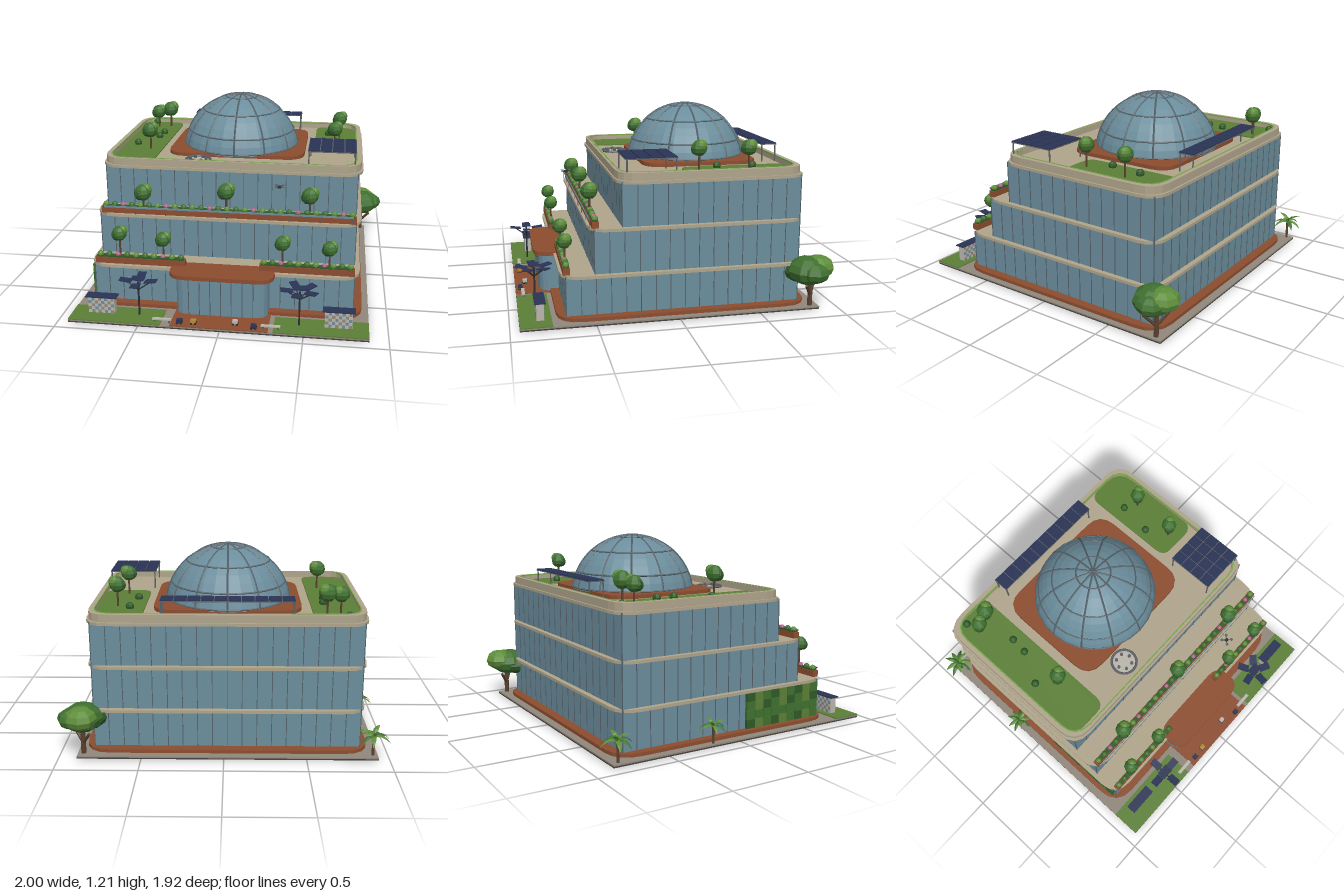
import * as THREE from 'three';

const mats = {};
const C = {
  glass: 0x6b8d9c, frame: 0x56636a, beige: 0xafa48b, clay: 0x8c4d2f, grass: 0x5b7f36, navy: 0x2a3355,
  paving: 0x90877b, under: 0x45413d, metal: 0x5d6166, dark: 0x2c3033, leaf: 0x3f7030, leaf2: 0x5d8d3a,
  leaf3: 0x2f5a28, trunk: 0x5a4030, pink: 0xb5658c, light: 0xb9b5ab, lime: 0x74a548, yellow: 0xb08a35,
};
const mat = (c) => (mats[c] ??= new THREE.MeshStandardMaterial({ color: C[c], flatShading: true, side: THREE.DoubleSide }));

export function createModel() {
  const root = new THREE.Group();
  const add = (name, geo, color, x = 0, y = 0, z = 0, parent = root) => {
    const m = new THREE.Mesh(geo, mat(color));
    m.name = name;
    m.position.set(x, y, z);
    parent.add(m);
    return m;
  };
  const group = (name, x = 0, y = 0, z = 0) => {
    const g = new THREE.Group();
    g.name = name;
    g.position.set(x, y, z);
    root.add(g);
    return g;
  };
  // Box given by its limits
  const box = (name, color, x0, x1, y0, y1, z0, z1, parent) =>
    add(name, new THREE.BoxGeometry(x1 - x0, y1 - y0, z1 - z0), color, (x0 + x1) / 2, (y0 + y1) / 2, (z0 + z1) / 2, parent);
  const outline = (T, x0, x1, z0, z1, r) => {
    const s = new T();
    s.moveTo(x0 + r, -z1);
    s.lineTo(x1 - r, -z1);
    s.quadraticCurveTo(x1, -z1, x1, -z1 + r);
    s.lineTo(x1, -z0 - r);
    s.quadraticCurveTo(x1, -z0, x1 - r, -z0);
    s.lineTo(x0 + r, -z0);
    s.quadraticCurveTo(x0, -z0, x0, -z0 - r);
    s.lineTo(x0, -z1 + r);
    s.quadraticCurveTo(x0, -z1, x0 + r, -z1);
    return s;
  };
  // Round-cornered slab, hollowed to a rim when a wall thickness is given
  const slab = (name, color, x0, x1, y0, y1, z0, z1, r, wall = 0) => {
    const s = outline(THREE.Shape, x0, x1, z0, z1, r);
    if (wall) s.holes.push(outline(THREE.Path, x0 + wall, x1 - wall, z0 + wall, z1 - wall, r - wall / 2));
    const g = new THREE.ExtrudeGeometry(s, { depth: y1 - y0, bevelEnabled: false, curveSegments: 4 });
    return add(name, g.rotateX(-Math.PI / 2), color, 0, y0, 0);
  };
  const rod = (name, color, a, b, r, parent = root) => {
    const p = new THREE.Vector3(...a), d = new THREE.Vector3(...b).sub(p);
    const m = add(name, new THREE.CylinderGeometry(r, r, d.length(), 6), color, 0, 0, 0, parent);
    m.position.copy(p).addScaledVector(d, 0.5);
    m.quaternion.setFromUnitVectors(new THREE.Vector3(0, 1, 0), d.normalize());
    return m;
  };
  const blob = (name, color, x, y, z, r, parent, sy = 1) => {
    const m = add(name, new THREE.SphereGeometry(r, 8, 6), color, x, y, z, parent);
    m.scale.y = sy;
    return m;
  };

  // Site
  box('groundUnderside', 'under', -0.93, 0.885, 0.008, 0.016, -0.87, 0.945);
  box('paving', 'paving', -0.93, 0.885, 0.016, 0.024, -0.87, 0.945);
  box('frontLawn', 'grass', -0.93, -0.36, 0.024, 0.03, 0.755, 0.945);
  box('frontLawn', 'grass', 0.32, 0.885, 0.024, 0.03, 0.755, 0.945);
  box('entrancePath', 'clay', -0.30, 0.29, 0.024, 0.03, 0.7, 0.945);
  slab('plinth', 'clay', -0.88, 0.845, 0.024, 0.045, -0.82, 0.725, 0.16);

  // Stepped glass storeys with mullions and ledges
  const X0 = -0.83, X1 = 0.79, Z0 = -0.76;
  [[0.024, 0.285, 0.67], [0.285, 0.56, 0.5], [0.56, 0.832, 0.335]].forEach(([y0, y1, z1], i) => {
    box('storey', 'glass', X0, X1, y0, y1, Z0, z1);
    const h = 0.0025, n = 18, m = Math.round((z1 - Z0) / 0.09);
    for (let k = 0; k <= n; k++) {
      const x = X0 + ((X1 - X0) * k) / n;
      for (const z of [Z0, z1]) box('mullion', 'frame', x - h, x + h, y0, y1, z - h, z + h);
    }
    for (let k = 1; k < m; k++) {
      const z = Z0 + ((z1 - Z0) * k) / m;
      for (const x of [X0, X1]) box('mullion', 'frame', x - h, x + h, y0, y1, z - h, z + h);
    }
    slab('ledge', 'beige', X0 - 0.032, X1 + 0.032, y1 - 0.012, y1 + 0.006, Z0 - 0.032, z1 + 0.032, 0.14);
  });

  // Entrance pavilion
  slab('entranceGlass', 'glass', -0.3, 0.275, 0.03, 0.275, 0.55, 0.79, 0.09);
  slab('entranceCanopy', 'clay', -0.335, 0.31, 0.275, 0.3, 0.62, 0.825, 0.1);
  for (let k = 0; k <= 6; k++) box('entranceMullion', 'frame', -0.213 + k * 0.066, -0.208 + k * 0.066, 0.03, 0.275, 0.788, 0.794);

  // Roof terrace
  slab('roofFloor', 'beige', -0.84, 0.8, 0.832, 0.845, -0.77, 0.345, 0.13);
  slab('parapet', 'beige', -0.85, 0.81, 0.825, 0.885, -0.78, 0.358, 0.14, 0.03);
  slab('parapetStrip', 'lime', -0.822, 0.782, 0.88, 0.887, -0.752, 0.342, 0.13, 0.008);
  slab('roofLawn', 'grass', -0.82, -0.535, 0.845, 0.852, -0.75, 0.315, 0.07);
  slab('roofLawn', 'grass', 0.49, 0.78, 0.845, 0.852, -0.75, -0.08, 0.07);
  slab('domeDeck', 'clay', -0.475, 0.435, 0.845, 0.868, -0.615, 0.125, 0.13);
  add('seatingDisc', new THREE.CylinderGeometry(0.07, 0.07, 0.006, 20), 'light', -0.245, 0.85, 0.22);
  add('seatingRing', new THREE.TorusGeometry(0.08, 0.008, 6, 24).rotateX(Math.PI / 2), 'metal', -0.245, 0.856, 0.22);
  for (let k = 0; k < 6; k++)
    add('stool', new THREE.CylinderGeometry(0.01, 0.01, 0.02, 8), 'metal', -0.245 + 0.05 * Math.cos(k * 1.047), 0.86, 0.22 + 0.05 * Math.sin(k * 1.047));

  // Dome with ribs and rings
  const dome = group('dome', -0.02, 0.8, -0.24), R = 0.4;
  add('domeGlass', new THREE.SphereGeometry(R, 28, 10, 0, Math.PI * 2, 0, 1.42), 'glass', 0, 0, 0, dome);
  for (let k = 0; k < 6; k++) {
    const rib = add('domeRib', new THREE.TorusGeometry(R, 0.006, 4, 28, Math.PI - 0.3).rotateZ(0.15), 'frame', 0, 0, 0, dome);
    rib.rotation.y = (k * Math.PI) / 6;
  }
  for (const y of [0.07, 0.165, 0.3, 0.385])
    add('domeRing', new THREE.TorusGeometry(Math.sqrt(R * R - y * y), 0.006, 4, 28).rotateX(Math.PI / 2), 'frame', 0, y, 0, dome);

  // Rooftop solar pergolas
  const pergola = (x0, x1, z0, z1, nx, nz) => {
    const g = group('solarPergola'), dx = (x1 - x0) / nx, dz = (z1 - z0) / nz;
    box('pergolaFrame', 'metal', x0, x1, 0.956, 0.962, z0, z1, g);
    for (let i = 0; i < nx; i++) for (let j = 0; j < nz; j++)
      box('solarPanel', 'navy', x0 + i * dx + 0.003, x0 + (i + 1) * dx - 0.003, 0.962, 0.968, z0 + j * dz + 0.003, z0 + (j + 1) * dz - 0.003, g);
    for (const x of [x0 + 0.008, x1 - 0.008]) for (const z of [z0 + 0.008, z1 - 0.008]) rod('pergolaPost', 'metal', [x, 0.84, z], [x, 0.96, z], 0.005, g);
  };
  pergola(-0.42, 0.375, -0.755, -0.65, 10, 1);
  pergola(0.47, 0.775, 0, 0.31, 4, 4);

  // Trees
  const tree = (x, z, y0, yc, r) => {
    const g = group('tree', x, 0, z);
    rod('trunk', 'trunk', [0, y0, 0], [0, yc, 0], r * 0.13, g);
    blob('crown', 'leaf', 0, yc, 0, r, g);
    blob('crown', 'leaf2', r * 0.35, yc + r * 0.35, -r * 0.2, r * 0.7, g);
    blob('crown', 'leaf3', -r * 0.3, yc - r * 0.15, r * 0.25, r * 0.75, g);
  };
  [[-0.7, -0.61, 0.97, 0.05], [-0.615, -0.64, 0.985, 0.055], [-0.615, 0, 0.985, 0.052], [0.66, -0.47, 0.99, 0.05], [0.63, -0.165, 0.99, 0.05]]
    .forEach(([x, z, y, r]) => tree(x, z, 0.85, y, r));
  [[-0.55, 0.705], [-0.02, 0.735], [0.5, 0.73]].forEach(([x, y]) => tree(x, 0.49, 0.6, y, 0.053));
  [[-0.665, 0.49], [-0.39, 0.465], [0.35, 0.48], [0.635, 0.46]].forEach(([x, y]) => tree(x, 0.66, 0.33, y, 0.047));
  [[-0.74, -0.71], [-0.615, -0.41], [-0.625, -0.3], [-0.73, -0.1], [0.58, -0.52], [0.55, -0.3]].forEach(([x, z]) => blob('roofShrub', 'leaf3', x, 0.865, z, 0.026));
  const big = group('cornerTree', 0.85, 0, -0.82);
  rod('trunk', 'trunk', [0, 0, 0], [0, 0.2, 0], 0.016, big);
  rod('branch', 'trunk', [0, 0.09, 0], [0.06, 0.17, 0.05], 0.009, big);
  rod('branch', 'trunk', [0, 0.09, 0], [-0.05, 0.17, -0.05], 0.009, big);
  [['leaf', 0, 0.25, 0.02, 0.125], ['leaf2', 0, 0.27, -0.045, 0.1], ['leaf', 0.06, 0.25, 0, 0.09], ['leaf3', -0.05, 0.23, 0.06, 0.09]]
    .forEach(([c, x, y, z, r]) => blob('crown', c, x, y, z, r, big, 0.7));

  // Palms with folded, drooping fronds
  for (const [x, z, s] of [[-0.9, -0.83, 1], [-0.905, -0.2, 0.85]]) {
    const palm = group('palm', x, 0.02, z);
    palm.scale.setScalar(s);
    rod('palmTrunk', 'trunk', [0, 0, 0], [0, 0.12, 0], 0.009, palm);
    for (let k = 0; k < 9; k++) {
      const geo = new THREE.PlaneGeometry(0.1, 0.032, 4, 2).rotateX(-Math.PI / 2).translate(0.05, 0, 0), p = geo.attributes.position;
      for (let i = 0; i < p.count; i++) {
        const t = p.getX(i) / 0.1, w = p.getZ(i) * Math.sin(0.3 + t * 2.7);
        p.setXYZ(i, p.getX(i), 0.1 * t - 0.13 * t * t - Math.abs(w) * 0.5, w);
      }
      const f = add('frond', geo, k % 2 ? 'leaf' : 'leaf2', 0, 0.12, 0, palm);
      f.rotation.set(0, k * 0.698, k % 3 ? 0.1 : 0.75, 'YXZ');
    }
  }

  // Terrace planters with shrubs and flowers
  const planter = (x0, x1, y, z) => {
    const g = group('planter');
    box('trough', 'clay', x0, x1, y, y + 0.04, z - 0.02, z + 0.02, g);
    box('hedge', 'leaf3', x0 + 0.01, x1 - 0.01, y + 0.04, y + 0.05, z - 0.016, z + 0.016, g);
    const n = Math.round((x1 - x0) / 0.055);
    for (let k = 0; k < n; k++)
      blob('shrub', k % 5 === 2 ? 'pink' : k % 2 ? 'leaf' : 'leaf2', x0 + ((k + 0.5) * (x1 - x0)) / n, y + 0.054, z, k % 5 === 2 ? 0.016 : 0.02, g);
  };
  planter(-0.82, 0.79, 0.564, 0.492);
  planter(-0.82, -0.25, 0.295, 0.665);
  planter(0.21, 0.79, 0.295, 0.665);
  box('terraceRail', 'glass', -0.8, 0.77, 0.606, 0.618, 0.522, 0.527);
  for (let k = 0; k <= 8; k++) rod('railPost', 'metal', [-0.79 + k * 0.194, 0.56, 0.524], [-0.79 + k * 0.194, 0.61, 0.524], 0.002);

  // Living wall
  const wall = group('livingWall');
  for (let i = 0; i < 9; i++) for (let j = 0; j < 4; j++)
    box('wallTile', ['leaf3', 'leaf', 'grass'][(i * 2 + j * j + i * j) % 3], -0.85, -0.83, 0.046 + j * 0.056, 0.1 + j * 0.056, 0.09 + i * 0.063, 0.151 + i * 0.063, wall);

  // Patterned kiosks with solar roofs
  for (const x of [-0.747, 0.705]) {
    const g = group('kiosk', x, 0.03, 0.822);
    box('kioskBody', 'light', -0.082, 0.082, 0, 0.104, -0.022, 0.022, g);
    for (let i = 0; i < 8; i++) for (let j = 0; j < 5; j++) if ((i + j) % 2)
      box('kioskTile', ['paving', 'glass', 'pink', 'paving'][(i + 3 * j) % 4], -0.08 + i * 0.02, -0.061 + i * 0.02, 0.002 + j * 0.02, 0.021 + j * 0.02, -0.024, 0.024, g);
    box('kioskRoof', 'navy', -0.097, 0.097, 0.104, 0.111, -0.033, 0.033, g);
  }

  // Solar trees
  for (const [x, n, a0] of [[-0.51, 4, 0], [0.47, 5, 0.5]]) {
    const g = group('solarTree', x, 0, 0.835);
    rod('mast', 'dark', [0, 0.025, 0], [0, 0.25, 0], 0.006, g);
    box('solarPanel', 'navy', -0.04, 0.04, 0.272, 0.278, -0.03, 0.03, g);
    rod('arm', 'dark', [0, 0.25, 0], [0, 0.272, 0], 0.004, g);
    for (let k = 0; k < n; k++) {
      const a = a0 + (k * Math.PI * 2) / n, c = Math.cos(a) * 0.078, s = Math.sin(a) * 0.078;
      rod('arm', 'dark', [0, 0.2, 0], [c, 0.255, s], 0.004, g);
      const p = add('solarPanel', new THREE.BoxGeometry(0.075, 0.006, 0.05), 'navy', c, 0.26, s, g);
      p.rotation.set(0, -a, 0.12, 'YXZ');
    }
  }

  // Benches, small carts and a hovering drone
  for (const x of [-0.355, 0.305]) {
    box('benchSeat', 'light', x - 0.058, x + 0.058, 0.042, 0.05, 0.89, 0.912);
    for (const s of [-0.045, 0.045]) box('benchLeg', 'metal', x + s - 0.005, x + s + 0.005, 0.024, 0.042, 0.892, 0.91);
  }
  [[-0.245, 0.91, 'navy'], [-0.16, 0.905, 'yellow'], [0.09, 0.88, 'light'], [0.205, 0.915, 'navy']].forEach(([x, z, c]) => {
    box('cart', c, x - 0.016, x + 0.016, 0.036, 0.058, z - 0.014, z + 0.014);
    for (const s of [-0.012, 0.012]) add('cartWheel', new THREE.CylinderGeometry(0.007, 0.007, 0.034, 8).rotateX(Math.PI / 2), 'dark', x + s, 0.036, z);
  });
  const drone = group('drone', 0.32, 0.82, 0.61);
  box('droneBody', 'dark', -0.01, 0.01, -0.006, 0.006, -0.01, 0.01, drone);
  for (const a of [-1, 1]) for (const b of [-1, 1]) {
    rod('droneArm', 'dark', [0, 0, 0], [a * 0.022, 0.003, b * 0.022], 0.002, drone);
    add('rotor', new THREE.CylinderGeometry(0.01, 0.01, 0.002, 8), 'metal', a * 0.022, 0.006, b * 0.022, drone);
  }
  return root;
}
